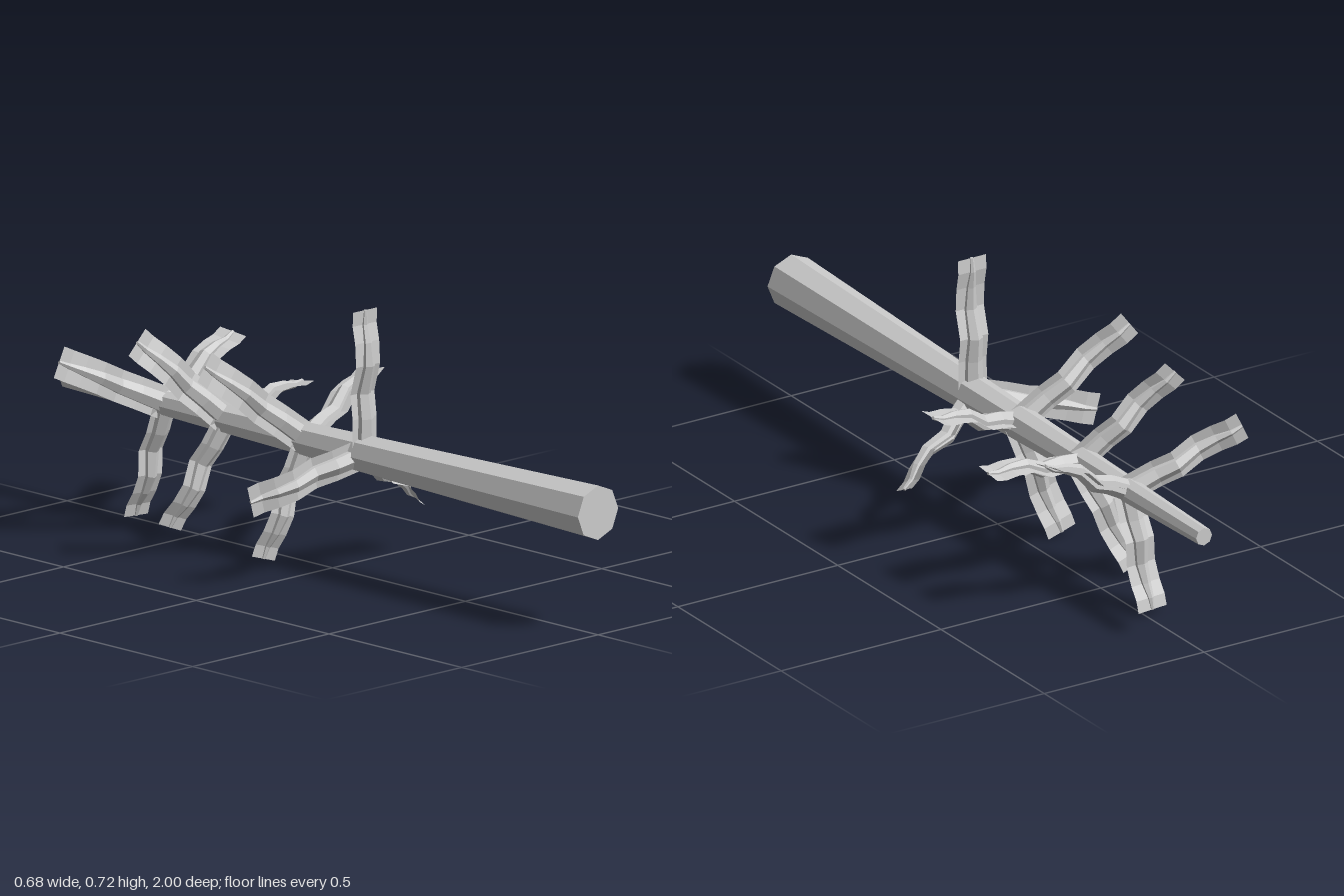
import * as THREE from 'three';

const V = (a) => new THREE.Vector3(...a);
const AXIS_Y = 0.338;
const FLAT = [0, 0, 1]; // reference normal for ribbons lying across the trunk

// Fallen trunk: base z, tip position, and either a ribbon width hint or none (width lies in the xy plane)
const BRANCHES = [
  { z: 0.12, tip: [0.003, 0.727, 0.12] },
  { z: 0.115, tip: [-0.33, 0.247, 0.03] },
  { z: 0.115, tip: [0.273, 0.159, 0.03], width: [0.005, -0.037, 0.068] },
  { z: -0.1, tip: [-0.303, 0.573, -0.17] },
  { z: -0.1, tip: [-0.098, 0.02, -0.16] },
  { z: -0.1, tip: [0.325, 0.458, -0.19], width: [0.015, 0.012, 0.08] },
  { z: -0.4, tip: [-0.235, 0.57, -0.495] },
  { z: -0.4, tip: [-0.115, 0.047, -0.495] },
  { z: -0.415, tip: [0.308, 0.383, -0.43], width: [0.01, 0.012, 0.078] },
  { z: -0.63, tip: [-0.297, 0.485, -0.725] },
  { z: -0.63, tip: [-0.02, 0.022, -0.72] },
  { z: -0.64, tip: [0.275, 0.48, -0.657], width: [0.01, -0.012, 0.078] },
];

// Along each branch: [fraction, sideways bend, core radius]
const PROFILE = [
  [0, 0, 0.029], [0.25, 0, 0.026], [0.42, -0.009, 0.023],
  [0.62, 0.012, 0.019], [0.78, 0.008, 0.014], [0.9, -0.002, 0.009], [1, 0, 0.005],
];

// Joins consecutive rows of points into a surface
function loft(rows, closed) {
  const n = rows[0].length;
  const index = [];
  for (let i = 0; i < rows.length - 1; i++) {
    for (let j = 0; j < (closed ? n : n - 1); j++) {
      const a = i * n + j, b = i * n + ((j + 1) % n);
      index.push(a, b, b + n, a, b + n, a + n);
    }
  }
  const geo = new THREE.BufferGeometry().setFromPoints(rows.flat());
  geo.setIndex(index);
  const flat = geo.toNonIndexed();
  flat.computeVertexNormals();
  return flat;
}

function makeBranch({ z, tip, width }, material) {
  const base = V([0, AXIS_Y, z]);
  const end = V(tip);
  const dir = end.clone().sub(base).normalize();
  const across = width ? V(width) : dir.clone().cross(V(FLAT));
  across.addScaledVector(dir, -across.dot(dir)).normalize();
  const bend = across.clone().cross(dir).normalize();
  // bends point upward on the left limbs, forward elsewhere
  if (width ? bend.y < 0 : bend.z < 0) bend.negate();

  const centres = PROFILE.map(([t, off]) => base.clone().lerp(end, t).addScaledVector(bend, off));

  // tapered six-sided core
  const side = bend.clone().cross(dir);
  const rings = centres.map((c, i) => Array.from({ length: 6 }, (_, k) => {
    const a = (k * Math.PI) / 3, r = PROFILE[i][2];
    return c.clone().addScaledVector(bend, Math.cos(a) * r).addScaledVector(side, -Math.sin(a) * r);
  }));
  rings.push(rings[0].map(() => end.clone()));

  // thin bent strip of constant width
  const strip = centres.map((c) => [-0.044, 0.044].map((w) => c.clone().addScaledVector(across, w)));

  const group = new THREE.Group();
  group.name = 'branch';
  const core = new THREE.Mesh(loft(rings, true), material);
  core.name = 'branchCore';
  const ribbon = new THREE.Mesh(loft(strip, false), material);
  ribbon.name = 'branchStrip';
  group.add(core, ribbon);
  return group;
}

export function createModel() {
  const model = new THREE.Group();
  model.name = 'fallenTree';
  const bark = new THREE.MeshStandardMaterial({ color: 0xcccccc, flatShading: true });
  const twig = bark.clone();
  twig.side = THREE.DoubleSide;

  // tapered eight-sided trunk, thick end to the front
  const trunk = new THREE.Mesh(new THREE.CylinderGeometry(0.074, 0.025, 2, 8), bark);
  trunk.name = 'trunk';
  trunk.rotation.x = Math.PI / 2;
  trunk.position.y = AXIS_Y;
  model.add(trunk);

  for (const b of BRANCHES) model.add(makeBranch(b, twig));
  return model;
}
